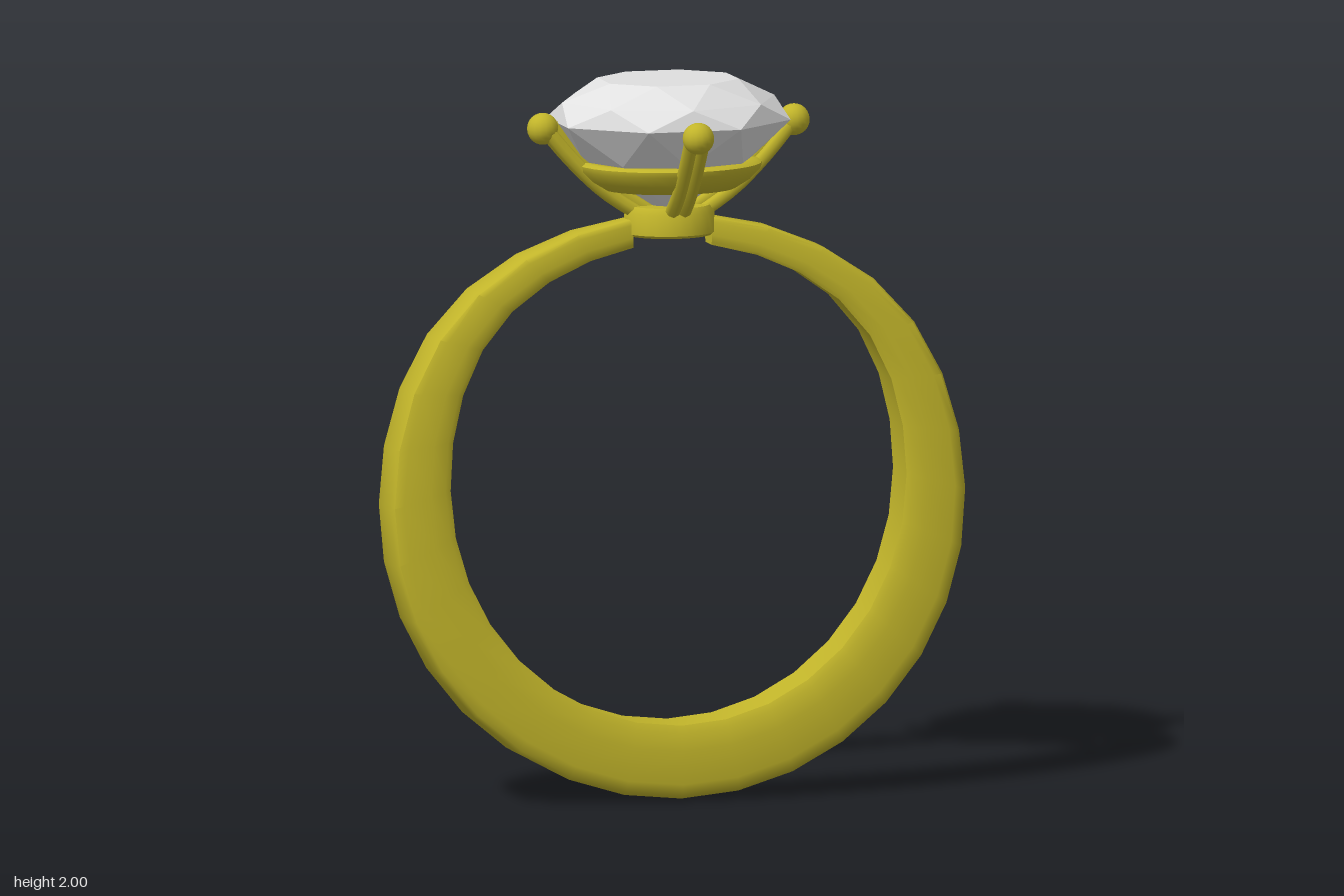
import * as THREE from 'three';
import { toCreasedNormals } from 'three/addons/utils/BufferGeometryUtils.js';
import { ConvexGeometry } from 'three/addons/geometries/ConvexGeometry.js';

const gold = new THREE.MeshStandardMaterial({ color: 0xc2b52a });
gold.name = 'gold';
const crystal = new THREE.MeshStandardMaterial({ color: 0xe0e0e0 });
crystal.name = 'crystal';

function add(parent, name, geometry, material) {
  const mesh = new THREE.Mesh(geometry, material);
  mesh.name = name;
  parent.add(mesh);
  return mesh;
}

// Open band: one rounded section swept round two ellipses that swell at the
// shoulders, narrowing to the top
function bandGeometry() {
  // [radial fraction, width fraction], from the inner edge to the outer face
  const half = [[0, 0.86], [0.1, 0.96], [0.35, 1], [0.8, 1], [0.95, 0.92], [1, 0.75]];
  const section = [
    ...half.map(([r, z]) => [r, -z]),
    [1, 0],
    ...half.slice().reverse(),
  ];
  const n = section.length, steps = 30;
  const positions = [], index = [];
  for (let i = 0; i <= steps; i++) {
    const s = (i / steps) * 2 - 1, u = Math.abs(s);
    const aOut = s * (Math.PI - 0.137), aIn = s * (Math.PI - 0.172);
    const width = 0.1 - 0.008 * u - 0.052 * u ** 5;
    const swell = 0.026 * Math.exp(-(((u - 0.76) / 0.15) ** 2));
    const outer = [(0.81 + swell) * Math.sin(aOut), 0.81 - (0.805 + swell) * Math.cos(aOut)];
    const inner = [(0.642 + swell) * Math.sin(aIn), 0.873 - (0.665 + swell) * Math.cos(aIn)];
    for (const [r, z] of section) {
      positions.push(
        inner[0] + (outer[0] - inner[0]) * r,
        inner[1] + (outer[1] - inner[1]) * r,
        z * width);
    }
  }
  for (let i = 0; i < steps; i++) {
    for (let j = 0; j < n; j++) {
      const k = (j + 1) % n;
      const a = i * n + j, b = a + n, c = (i + 1) * n + k, d = i * n + k;
      index.push(a, b, c, a, c, d);
    }
  }
  // flat end caps
  const last = steps * n;
  for (let j = 1; j < n - 1; j++) {
    index.push(0, j, j + 1, last, last + j + 1, last + j);
  }
  const g = new THREE.BufferGeometry();
  g.setAttribute('position', new THREE.Float32BufferAttribute(positions, 3));
  g.setIndex(index);
  return toCreasedNormals(g, 0.8);
}

// Faceted stone: the convex hull of eight-point rings
function gemGeometry() {
  const rings = [ // radius, height, half-step turn
    [0.197, 1.992, 0.5], // table
    [0.3, 1.935, 0],     // crown
    [0.341, 1.88, 0.5],  // girdle
    [0.24, 1.77, 0],     // pavilion
    [0.04, 1.635, 0.5],  // culet
  ];
  const points = [];
  for (const [r, y, turn] of rings) {
    for (let k = 0; k < 8; k++) {
      const a = ((k + turn) * Math.PI) / 4;
      points.push(new THREE.Vector3(r * Math.cos(a), y, r * Math.sin(a)));
    }
  }
  return new ConvexGeometry(points);
}

function lathe(profile, segments) {
  const pts = profile.map(([r, y]) => new THREE.Vector2(r, y));
  return toCreasedNormals(new THREE.LatheGeometry(pts, segments), 0.7);
}

// Claw: twin outer rails and an inner rib, curving outwards to a round tip
function makeClaw() {
  const claw = new THREE.Group();
  claw.name = 'claw';
  const rails = [[-0.016, 0, 0.021], [0.016, 0, 0.021], [0, 0.016, 0.022]]; // side, inset, radius
  for (const [side, inset, radius] of rails) {
    const path = new THREE.CatmullRomCurve3(
      [[0.07, 1.61], [0.18, 1.685], [0.27, 1.772], [0.345, 1.86]]
        .map(([x, y]) => new THREE.Vector3(x - inset, y + inset * 0.8, side)));
    add(claw, 'clawRail', new THREE.TubeGeometry(path, 10, radius, 8), gold);
  }
  add(claw, 'clawTip', new THREE.SphereGeometry(0.044, 16, 12), gold)
    .position.set(0.355, 1.865, 0);
  return claw;
}

export function createModel() {
  const model = new THREE.Group();
  model.name = 'gemRing';

  // The whole ring leans back slightly
  const ring = new THREE.Group();
  ring.name = 'ring';
  ring.rotation.x = -0.042;
  ring.position.z = 0.077;
  model.add(ring);

  add(ring, 'band', bandGeometry(), gold);

  // Base of the setting
  add(ring, 'settingBase', lathe(
    [[0, 1.56], [0.116, 1.56], [0.124, 1.567], [0.124, 1.625], [0.112, 1.643], [0, 1.643]], 24), gold);

  // Flared collar under the stone
  add(ring, 'collar', lathe(
    [[0.125, 1.7], [0.145, 1.69], [0.185, 1.69], [0.225, 1.715], [0.254, 1.745], [0.257, 1.76],
      [0.245, 1.768], [0.215, 1.768], [0.125, 1.7]], 32), gold);

  for (let k = 0; k < 4; k++) {
    const claw = makeClaw();
    claw.rotation.y = (k * Math.PI) / 2;
    ring.add(claw);
  }

  add(ring, 'gem', gemGeometry(), crystal);
  return model;
}
